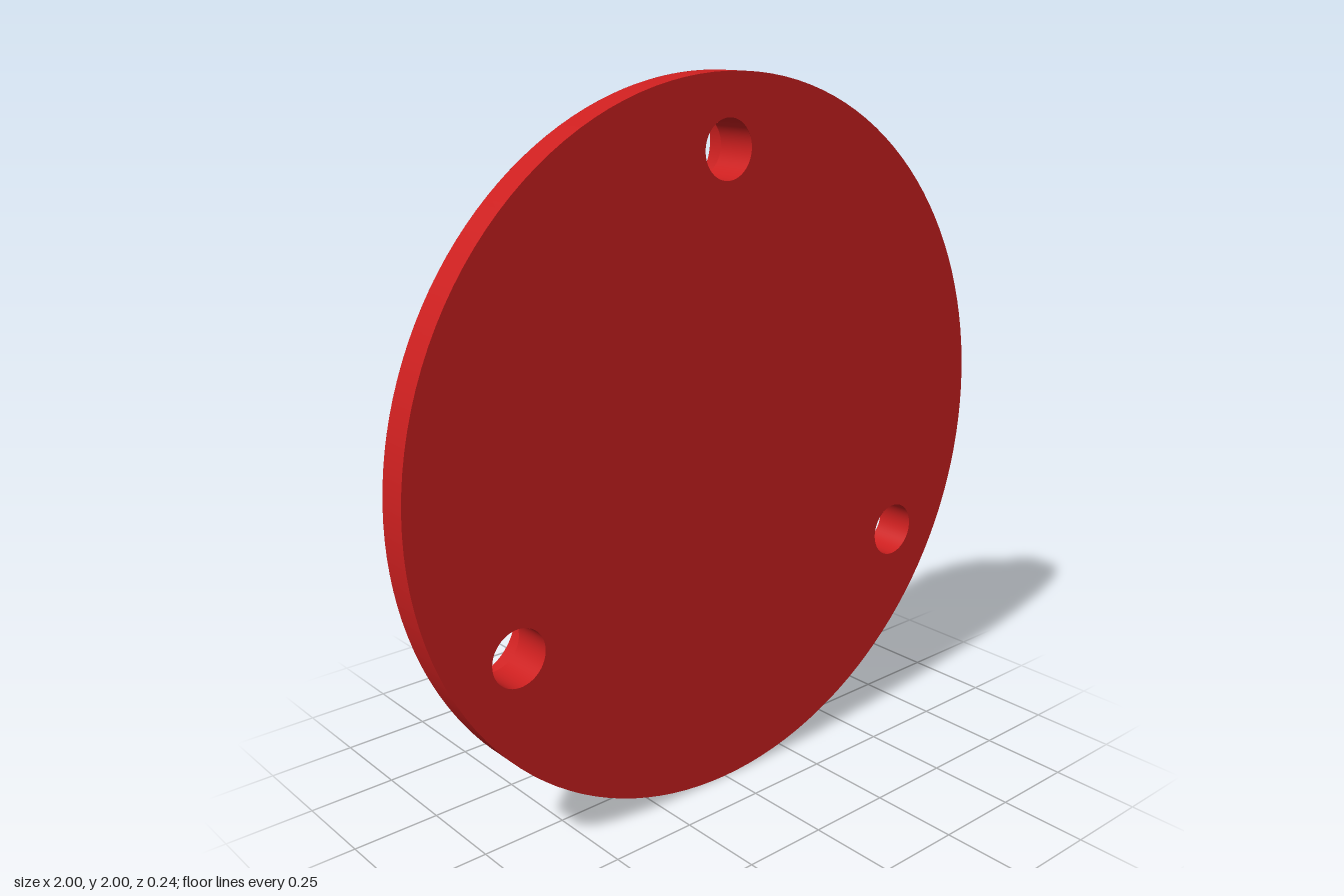
import * as THREE from 'three';

const FRONT = 0.12, BACK = -0.12, RIM = 0.035; // z levels
const FLAT = 0.825, FILLET = 0.05;             // back face radius and edge rounding
const FILLET_END = FLAT + FILLET * Math.SQRT1_2;
const HOLE = 0.08, BORE = 0.148, PITCH = 0.805, FLOOR = 0;
const HOLE_ANGLES = [0, 1, 2].map(i => Math.PI / 2 + i * Math.PI * 2 / 3);

// Back profile: flat, rounded edge, 45 degree chamfer
function backZ(r) {
  if (r <= FLAT) return BACK;
  if (r >= FILLET_END) return RIM - (1 - r);
  return BACK + FILLET - Math.sqrt(FILLET ** 2 - (r - FLAT) ** 2);
}

function backSlope(r) {
  if (r <= FLAT) return 0;
  if (r >= FILLET_END) return 1;
  return (r - FLAT) / Math.sqrt(FILLET ** 2 - (r - FLAT) ** 2);
}

// Grid surface; point(i, j) returns [position, normal]
function gridSurface(cols, rows, point) {
  const pos = [], nor = [], idx = [];
  for (let i = 0; i <= cols; i++) {
    for (let j = 0; j <= rows; j++) {
      const [p, n] = point(i, j);
      pos.push(...p);
      nor.push(...new THREE.Vector3(...n).normalize().toArray());
      if (i < cols && j < rows) {
        const a = i * (rows + 1) + j, b = a + rows + 1;
        idx.push(a, b, a + 1, b, b + 1, a + 1);
      }
    }
  }
  const g = new THREE.BufferGeometry();
  g.setAttribute('position', new THREE.Float32BufferAttribute(pos, 3));
  g.setAttribute('normal', new THREE.Float32BufferAttribute(nor, 3));
  g.setIndex(idx);
  return g;
}

// Radial rows used on the back, following the profile breaks
const ROWS = [0, 0.4, 0.7, FLAT];
for (let k = 1; k <= 6; k++) ROWS.push(FLAT + FILLET * Math.sin(k * Math.PI / 24));
ROWS.push(0.9, 0.95, 1);

// Part of the back between two angles, limited per column to radii [lo, hi]
function backPatch(angles, limits) {
  return gridSurface(angles.length - 1, ROWS.length - 1, (i, j) => {
    const [lo, hi] = limits(i);
    const r = THREE.MathUtils.clamp(ROWS[j], lo, hi), t = angles[i], m = backSlope(r);
    return [[r * Math.cos(t), r * Math.sin(t), backZ(r)], [m * Math.cos(t), m * Math.sin(t), -1]];
  });
}

export function createModel() {
  const model = new THREE.Group();
  const disc = new THREE.Group();
  disc.name = 'coverDisc';
  disc.position.y = 1;
  model.add(disc);
  const red = new THREE.MeshStandardMaterial({ color: 0xcc1f1f, side: THREE.DoubleSide });
  const add = (name, geometry, parent = disc) => {
    const mesh = new THREE.Mesh(geometry, red);
    mesh.name = name;
    parent.add(mesh);
    return mesh;
  };

  // Front face with three through holes
  const face = new THREE.Shape().absarc(0, 0, 1, 0, Math.PI * 2);
  for (const a of HOLE_ANGLES) {
    face.holes.push(new THREE.Path().absarc(PITCH * Math.cos(a), PITCH * Math.sin(a), HOLE, 0, Math.PI * 2, true));
  }
  add('frontFace', new THREE.ShapeGeometry(face, 64)).position.z = FRONT;

  // Straight outer rim
  const rim = new THREE.CylinderGeometry(1, 1, FRONT - RIM, 128, 1, true);
  add('outerRim', rim.rotateX(Math.PI / 2)).position.z = (FRONT + RIM) / 2;

  const half = Math.asin(BORE / PITCH), N = 40;
  for (const a of HOLE_ANGLES) {
    // Back surface inside and outside the counterbore
    const deltas = Array.from({ length: N + 1 }, (_, i) => half * Math.sin((i / N - 0.5) * Math.PI));
    const hits = deltas.map(d => {
      const root = Math.sqrt(Math.max(0, BORE ** 2 - (PITCH * Math.sin(d)) ** 2));
      return [PITCH * Math.cos(d) - root, PITCH * Math.cos(d) + root];
    });
    const boreAngles = deltas.map(d => a + d);
    add('backInsideBore', backPatch(boreAngles, i => [0, hits[i][0]]));
    add('backOutsideBore', backPatch(boreAngles, i => [hits[i][1], 1]));

    // Uncut back surface up to the next counterbore
    const span = Math.PI * 2 / 3 - 2 * half;
    const plain = Array.from({ length: N + 1 }, (_, i) => a + half + span * i / N);
    add('backSector', backPatch(plain, () => [0, 1]));

    // Counterbore wall, trimmed by the back profile
    const screwHole = new THREE.Group();
    screwHole.name = 'screwHole';
    screwHole.position.set(PITCH * Math.cos(a), PITCH * Math.sin(a), 0);
    disc.add(screwHole);
    add('counterboreWall', gridSurface(96, 1, (i, j) => {
      const t = a + i / 96 * Math.PI * 2, c = Math.cos(t), s = Math.sin(t);
      const x = BORE * c, y = BORE * s;
      const r = Math.hypot(x + screwHole.position.x, y + screwHole.position.y);
      return [[x, y, j ? backZ(r) : FLOOR], [-c, -s, 0]];
    }), screwHole);

    // Counterbore floor and through hole
    const floor = new THREE.RingGeometry(HOLE, BORE, 96).rotateY(Math.PI);
    add('counterboreFloor', floor, screwHole).position.z = FLOOR;
    const bore = new THREE.CylinderGeometry(HOLE, HOLE, FRONT - FLOOR, 64, 1, true);
    add('throughHole', bore.rotateX(Math.PI / 2), screwHole).position.z = (FRONT + FLOOR) / 2;
  }
  return model;
}
